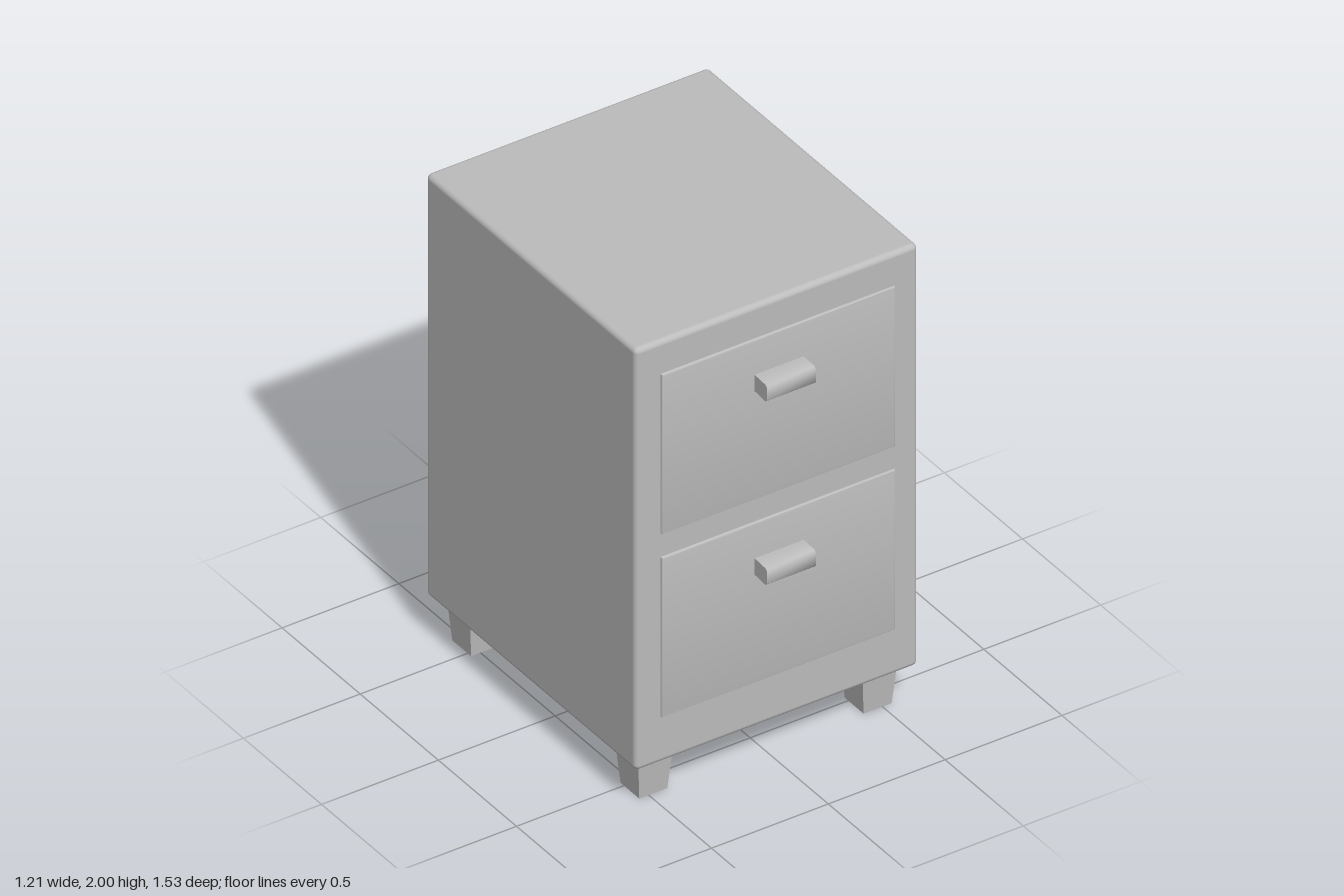
import * as THREE from 'three';
import { RoundedBoxGeometry } from 'three/addons/geometries/RoundedBoxGeometry.js';
import { toCreasedNormals } from 'three/addons/utils/BufferGeometryUtils.js';

const grey = new THREE.MeshStandardMaterial({ color: 0xbcbcbc });
grey.name = 'painted grey';

function add(parent, name, geometry, x = 0, y = 0, z = 0) {
  const mesh = new THREE.Mesh(geometry, grey);
  mesh.name = name;
  mesh.position.set(x, y, z);
  parent.add(mesh);
  return mesh;
}

// Drawer front with a narrow bevel; its outer face lies at z = 0.685
function drawerGeometry() {
  const w = 0.49, h = 0.335;
  const shape = new THREE.Shape([
    new THREE.Vector2(-w, -h), new THREE.Vector2(w, -h),
    new THREE.Vector2(w, h), new THREE.Vector2(-w, h),
  ]);
  const geometry = new THREE.ExtrudeGeometry(shape, {
    depth: 0.03, bevelSize: 0.01, bevelThickness: 0.008, bevelSegments: 2,
  });
  return toCreasedNormals(geometry.translate(0, 0, 0.647), 0.6);
}

// Solid pull: side profile in (z, y), extruded along x
function handleGeometry() {
  const profile = [[0.66, -0.03], [0.7, -0.033], [0.755, -0.037], [0.765, -0.028],
    [0.765, 0.026], [0.755, 0.035], [0.7, 0.038], [0.66, 0.038]];
  const shape = new THREE.Shape(profile.map(([z, y]) => new THREE.Vector2(z, y)));
  const geometry = new THREE.ExtrudeGeometry(shape, { depth: 0.21, bevelEnabled: false });
  geometry.translate(0, 0, -0.105).rotateY(-Math.PI / 2);
  return toCreasedNormals(geometry, 0.9);
}

// Square tapered foot that flares out where it meets the cabinet
function footGeometry() {
  const profile = [[0, 0], [0.06, 0], [0.073, 0.16], [0.098, 0.17], [0.098, 0.195]];
  const points = profile.map(([r, y]) => new THREE.Vector2(r * Math.SQRT2, y));
  const geometry = new THREE.LatheGeometry(points, 4).rotateY(Math.PI / 4);
  return toCreasedNormals(geometry, 0.6);
}

export function createModel() {
  const cabinet = new THREE.Group();
  cabinet.name = 'filing cabinet';

  add(cabinet, 'body', new RoundedBoxGeometry(1.21, 1.82, 1.346, 3, 0.022), 0, 1.09, 0);

  // The same pair of drawers on the front and the back
  const drawer = drawerGeometry(), handle = handleGeometry();
  for (const side of ['front', 'back']) {
    const face = new THREE.Group();
    face.name = side + 'Drawers';
    if (side === 'back') face.rotation.y = Math.PI;
    for (const [level, y, handleY] of [['lower', 0.725, 0.882], ['upper', 1.515, 1.674]]) {
      add(face, level + 'Drawer', drawer, 0, y, 0);
      add(face, level + 'Handle', handle, 0, handleY, 0);
    }
    cabinet.add(face);
  }

  const foot = footGeometry();
  for (const sx of [-1, 1]) {
    for (const sz of [-1, 1]) {
      add(cabinet, (sz > 0 ? 'front' : 'back') + (sx > 0 ? 'Left' : 'Right') + 'Foot',
        foot, sx * 0.48, 0, sz * 0.538);
    }
  }
  return cabinet;
}
